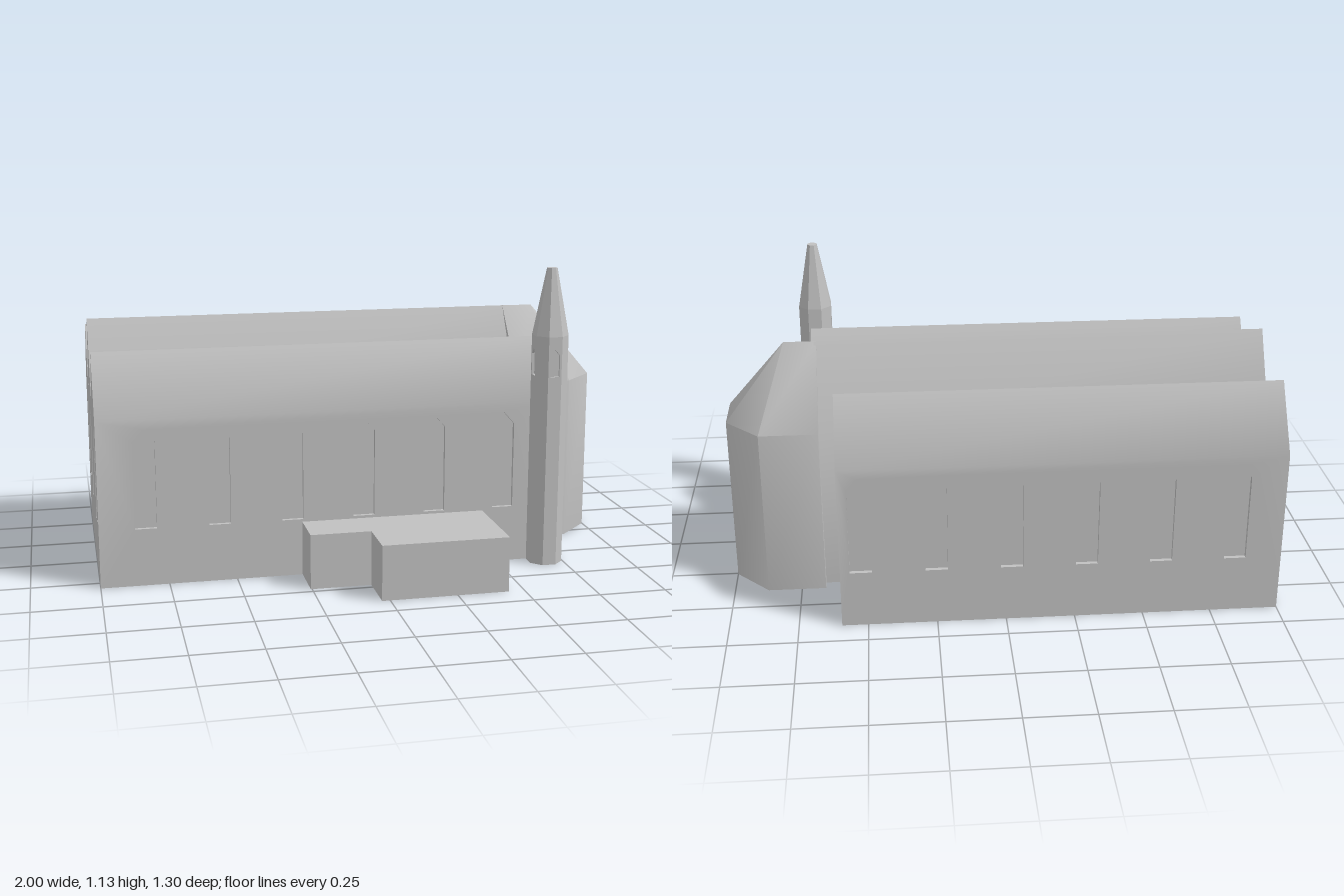
import * as THREE from 'three';
import { mergeGeometries, toCreasedNormals } from 'three/addons/utils/BufferGeometryUtils.js';

const stone = new THREE.MeshStandardMaterial({ color: 0xc0c0c0 });
stone.name = 'stone';

const WINDOW_XS = [-0.83, -0.56, -0.29, -0.02, 0.25, 0.52];
const EAVE = 0.62;

// Flat convex face, corners counter-clockwise as seen from outside
function face(...pts) {
  const pos = [];
  for (let i = 1; i < pts.length - 1; i++) pos.push(...pts[0], ...pts[i], ...pts[i + 1]);
  return new THREE.BufferGeometry().setAttribute('position', new THREE.Float32BufferAttribute(pos, 3));
}

// Geometry of a flat 2D shape, positions only
function flat(shape) {
  const g = new THREE.ShapeGeometry(shape).toNonIndexed();
  g.deleteAttribute('uv');
  g.deleteAttribute('normal');
  return g;
}

const toPoints = (list) => list.map(([x, y]) => new THREE.Vector2(x, y));

// Outline of a pointed window
function windowOutline(x, w, y0, shoulder, y1) {
  return [[x - w / 2, y0], [x + w / 2, y0], [x + w / 2, shoulder], [x, y1], [x - w / 2, shoulder]];
}
const naveWindow = (x) => windowOutline(x, 0.08, 0.215, 0.54, 0.585);

// Wall facing +z with recessed windows, then turned and moved into place
function panel(outline, windows, depth, angle, x, z) {
  const wall = new THREE.Shape(toPoints(outline));
  const parts = [];
  for (const pts of windows) {
    wall.holes.push(new THREE.Path(toPoints(pts)));
    parts.push(flat(new THREE.Shape(toPoints(pts))).translate(0, 0, -depth));
    pts.forEach((a, i) => {
      const b = pts[(i + 1) % pts.length];
      parts.push(face([...a, 0], [...b, 0], [...b, -depth], [...a, -depth]));
    });
  }
  parts.push(flat(wall));
  return mergeGeometries(parts).rotateY(angle).translate(x, 0, z);
}

function makeMesh(name, parts, crease) {
  const mesh = new THREE.Mesh(toCreasedNormals(mergeGeometries(parts), crease), stone);
  mesh.name = name;
  return mesh;
}

// Gabled hall running along x
function nave(name, { back, front, ridge, end, windowsFront = [], windowsBack = [] }) {
  const west = -1;
  const mid = (back + front) / 2;
  const rect = (a, b) => [[a, 0], [b, 0], [b, EAVE], [a, EAVE]];
  const gable = (a, b, m) => [[a, 0], [b, 0], [b, EAVE], [m, ridge], [a, EAVE]];
  return makeMesh(name, [
    panel(rect(west, end), windowsFront.map(naveWindow), 0.015, 0, 0, front),
    panel(rect(-end, -west), windowsBack.map((x) => naveWindow(-x)), 0.015, Math.PI, 0, back),
    panel(gable(back, front, mid), [naveWindow(mid)], 0.015, -Math.PI / 2, west, 0),
    panel(gable(-front, -back, -mid), [], 0, Math.PI / 2, end, 0),
    face([west, EAVE, front], [end, EAVE, front], [end, ridge, mid], [west, ridge, mid]),
    face([end, EAVE, back], [west, EAVE, back], [west, ridge, mid], [end, ridge, mid]),
    face([west, 0, back], [end, 0, back], [end, 0, front], [west, 0, front]),
  ], 0.85);
}

// Faceted choir end with a hipped roof
function apse() {
  const eave = 0.64;
  const plan = [[0.66, 0.045], [0.875, 0.045], [1, -0.08], [1, -0.255], [0.875, -0.385], [0.66, -0.385]];
  const at = (i, y) => [plan[i][0], y, plan[i][1]];
  const r0 = [0.66, 0.917, -0.17];
  const r1 = [0.78, 0.917, -0.17];
  const parts = [];
  for (let i = 0; i < 5; i++) {
    parts.push(face(at(i, 0), at(i + 1, 0), at(i + 1, eave), at(i, eave)));
    if (i > 0 && i < 4) parts.push(face(at(i, eave), at(i + 1, eave), r1));
  }
  parts.push(face(at(0, eave), at(1, eave), r1, r0));
  parts.push(face(at(4, eave), at(5, eave), r0, r1));
  parts.push(face(at(5, 0), at(0, 0), at(0, eave), r0, at(5, eave)));
  parts.push(face(...plan.map((_, i) => at(5 - i, 0))));
  return makeMesh('apse', parts, 0.85);
}

// Eight-sided stair turret with a blunt spire
function turret() {
  const half = 0.0625, side = half * Math.tan(Math.PI / 8);
  const topHalf = 0.018, topSide = topHalf * Math.tan(Math.PI / 8);
  const shaftTop = 0.88, top = 1.13;
  const parts = [];
  for (let k = 0; k < 8; k++) {
    const angle = k * Math.PI / 4;
    const windows = k % 2 ? [] : [windowOutline(0, 0.036, 0.73, 0.81, 0.832)];
    parts.push(panel([[-side, 0], [side, 0], [side, shaftTop], [-side, shaftTop]], windows, 0.01,
      angle, Math.sin(angle) * half, Math.cos(angle) * half));
    parts.push(face([-side, shaftTop, half], [side, shaftTop, half],
      [topSide, top, topHalf], [-topSide, top, topHalf]).rotateY(angle));
    parts.push(face([-topSide, top, topHalf], [topSide, top, topHalf], [0, top, 0]).rotateY(angle));
    parts.push(face([side, 0, half], [-side, 0, half], [0, 0, 0]).rotateY(angle));
  }
  const mesh = makeMesh('turret', parts, 0.1);
  mesh.position.set(0.683, 0, 0.336);
  return mesh;
}

function annex(name, x0, x1, z1) {
  const z0 = 0.29, h = 0.205;
  const mesh = new THREE.Mesh(new THREE.BoxGeometry(x1 - x0, h, z1 - z0), stone);
  mesh.position.set((x0 + x1) / 2, h / 2, (z0 + z1) / 2);
  mesh.name = name;
  return mesh;
}

export function createModel() {
  const church = new THREE.Group();
  church.name = 'church';
  church.add(
    nave('frontNave', { back: 0, front: 0.308, ridge: 0.845, end: 0.695, windowsFront: WINDOW_XS }),
    nave('middleNave', { back: -0.345, front: 0, ridge: 0.917, end: 0.67 }),
    nave('backNave', { back: -0.65, front: -0.345, ridge: 0.845, end: 0.595, windowsBack: WINDOW_XS }),
    apse(),
    turret(),
    annex('smallAnnex', -0.255, -0.03, 0.475),
    annex('largeAnnex', -0.03, 0.44, 0.648),
  );
  return church;
}
